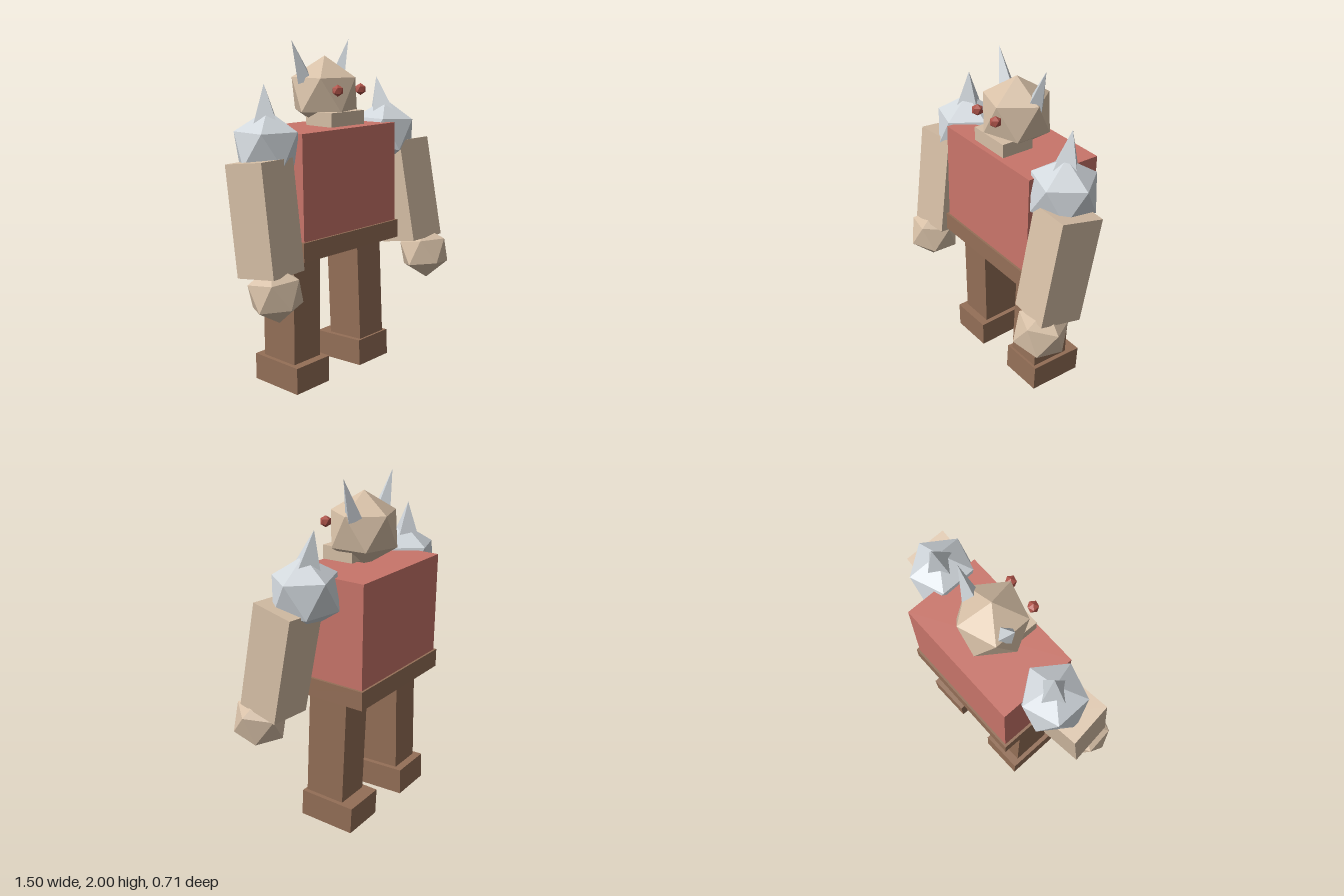
import * as THREE from 'three';

const mat = (name, color) => {
  const m = new THREE.MeshStandardMaterial({ color, flatShading: true });
  m.name = name;
  return m;
};

// Twenty-sided ball standing on a vertex, with an upper ring vertex towards +x
const ball = (r) => new THREE.IcosahedronGeometry(r, 0).rotateZ(Math.atan2(2, 1 + Math.sqrt(5))).rotateY(Math.PI);

export function createModel() {
  const skin = mat('skin', 0xd6bfa6);
  const shirt = mat('red shirt', 0xc9756a);
  const leather = mat('brown leather', 0x946f57);
  const metal = mat('pale metal', 0xd0d6db);
  const eyeRed = mat('eye red', 0xb0544a);

  const model = new THREE.Group();
  model.name = 'figure';

  const add = (parent, name, geo, material, pos, rot = [0, 0, 0]) => {
    const mesh = new THREE.Mesh(geo, material);
    mesh.name = name;
    mesh.position.set(...pos);
    mesh.rotation.set(...rot);
    parent.add(mesh);
    return mesh;
  };
  const group = (name, pos, rot) => {
    const g = new THREE.Group();
    g.name = name;
    g.position.set(...pos);
    g.rotation.set(...rot);
    model.add(g);
    return g;
  };
  // Four-sided spike from a base point to a tip
  const spike = (name, radius, base, tip) => {
    const a = new THREE.Vector3(...base);
    const dir = new THREE.Vector3(...tip).sub(a);
    const h = dir.length();
    const mesh = add(model, name, new THREE.ConeGeometry(radius, h, 4).translate(0, h / 2, 0), metal, base);
    mesh.quaternion.setFromUnitVectors(new THREE.Vector3(0, 1, 0), dir.normalize());
  };

  // Torso and belt, leaning very slightly
  const body = group('body', [0, 0.8, -0.103], [-0.015, -0.019, 0]);
  add(body, 'torso', new THREE.BoxGeometry(0.78, 0.62, 0.47), shirt, [0, 0.398, 0]);
  add(body, 'belt', new THREE.BoxGeometry(0.81, 0.11, 0.495), leather, [0, 0.056, 0]);

  // Head, jaw, eyes and horns
  add(model, 'head', ball(0.215), skin, [0, 1.695, -0.087]);
  add(model, 'jaw', new THREE.BoxGeometry(0.27, 0.08, 0.2), skin, [-0.005, 1.562, 0], [0, -0.03, 0]);
  add(model, 'rightEye', ball(0.034), eyeRed, [-0.1, 1.725, 0.105]);
  add(model, 'leftEye', ball(0.034), eyeRed, [0.08, 1.725, 0.117]);
  spike('rightHorn', 0.056, [-0.13, 1.775, -0.122], [-0.219, 2, -0.135]);
  spike('leftHorn', 0.056, [0.135, 1.775, -0.11], [0.226, 2, -0.103]);

  // Arms with fists, shoulder armour and legs; each side is posed a little differently
  const sides = [
    { name: 'left', s: 1, armZ: 0.014, swing: -0.2, pad: [0.478, 1.43, -0.03], tipZ: -0.085, stride: -0.05, footZ: -0.097 },
    { name: 'right', s: -1, armZ: -0.035, swing: -0.13, pad: [-0.465, 1.43, -0.08], tipZ: -0.1, stride: 0.012, footZ: -0.105 },
  ];
  for (const p of sides) {
    const arm = group(p.name + 'Arm', [p.s * 0.573, 1.372, p.armZ], [p.swing, -0.09 * p.s, 0]);
    add(arm, p.name + 'Forearm', new THREE.BoxGeometry(0.255, 0.62, 0.26), skin, [0, -0.31, 0]);
    add(arm, p.name + 'Fist', ball(0.163), skin, [p.s * 0.036, -0.715, 0.05], [0, 0, p.s > 0 ? -0.08 : 0.03]);

    add(model, p.name + 'ShoulderArmour', ball(0.205), metal, p.pad, [0, 0, p.s > 0 ? -0.06 : 0]);
    spike(p.name + 'ShoulderSpike', 0.094, [p.pad[0] - 0.004, 1.55, p.pad[2] - 0.01], [p.s * 0.468, 1.772, p.tipZ]);

    const leg = group(p.name + 'Leg', [p.s * 0.271, 0.79, -0.097], [p.stride, 0, 0]);
    add(leg, p.name + 'Shin', new THREE.BoxGeometry(0.215, 0.64, 0.247), leather, [0, -0.315, 0]);
    add(model, p.name + 'Foot', new THREE.BoxGeometry(0.27, 0.16, 0.345), leather,
      [p.s * 0.27, p.s > 0 ? 0.09 : 0.083, p.footZ], [p.stride, 0, 0]);
  }
  return model;
}
